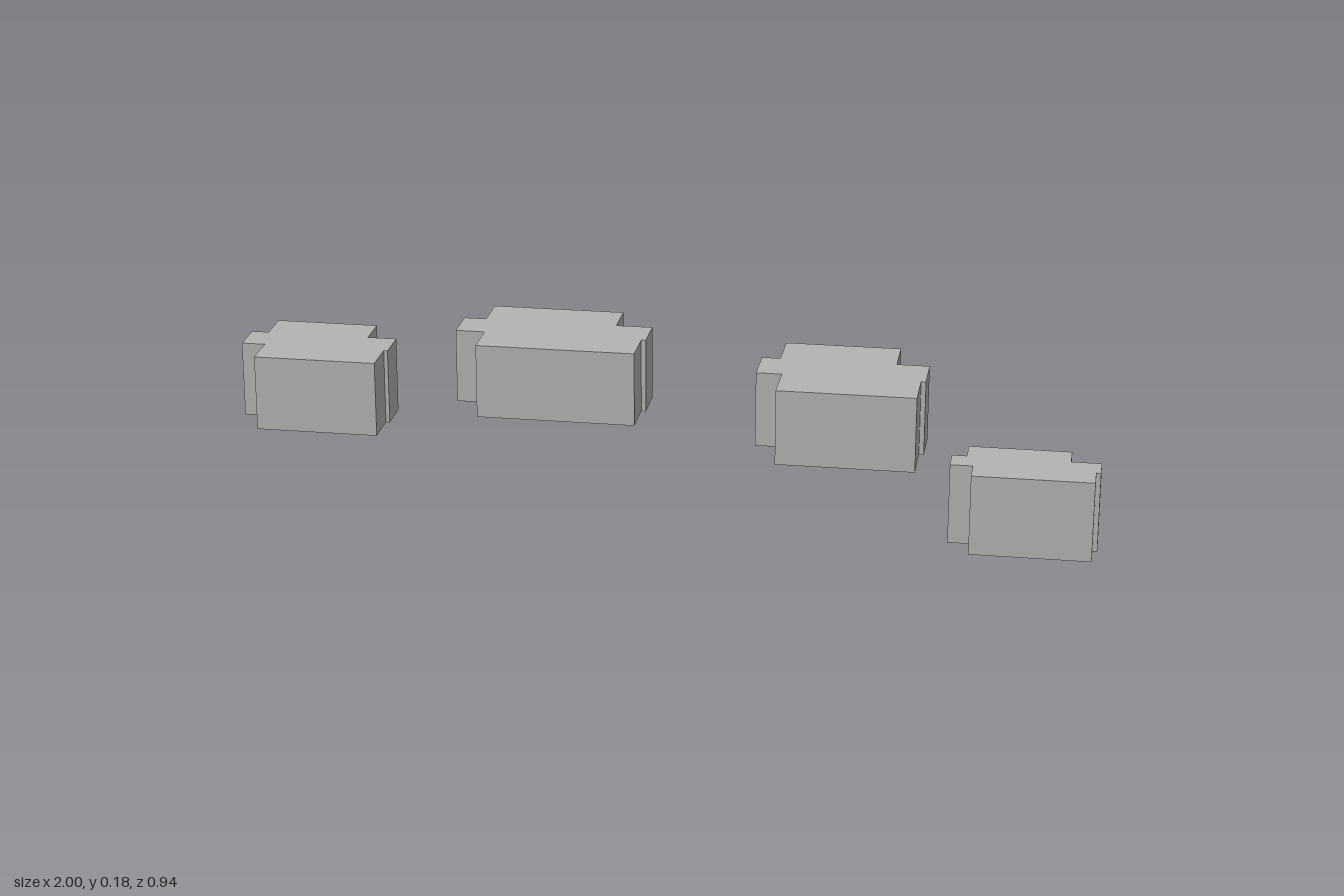
import * as THREE from 'three';

const HEIGHT = 0.177;

// Each block: four z lines from back to front, and the x span of its back, middle and front strips
const BLOCKS = [
  { name: 'farRightBlock', z: [-0.28, -0.193, -0.107, -0.017], back: [-0.96, -0.72], middle: [-1, -0.652], front: [-0.945, -0.661] },
  { name: 'centreRightBlock', z: [-0.468, -0.37, -0.275, -0.176], back: [-0.475, -0.16], middle: [-0.528, -0.074], front: [-0.459, -0.085] },
  { name: 'centreLeftBlock', z: [-0.31, -0.2, -0.093, 0.018], back: [0.252, 0.52], middle: [0.209, 0.595], front: [0.268, 0.584] },
  { name: 'farLeftBlock', z: [0.295, 0.353, 0.41, 0.468], back: [0.717, 0.936], middle: [0.685, 1], front: [0.733, 0.99] },
];

// Stepped footprint, extruded upwards into a solid block
function steppedBlock({ name, z, back, middle, front }, material) {
  const strips = [[back, z[0], z[1]], [middle, z[1], z[2]], [front, z[2], z[3]]];
  const leftSide = strips.flatMap(([x, z0, z1]) => [[x[0], z0], [x[0], z1]]);
  const rightSide = strips.flatMap(([x, z0, z1]) => [[x[1], z0], [x[1], z1]]).reverse();
  const outline = [...leftSide, ...rightSide].map(([x, zz]) => new THREE.Vector2(x, -zz));
  const geometry = new THREE.ExtrudeGeometry(new THREE.Shape(outline), { depth: HEIGHT, bevelEnabled: false });
  geometry.rotateX(-Math.PI / 2);
  const mesh = new THREE.Mesh(geometry, material);
  mesh.name = name;
  return mesh;
}

export function createModel() {
  const group = new THREE.Group();
  group.name = 'buildingBlocks';
  const grey = new THREE.MeshStandardMaterial({ color: 0xb3b3b3 });
  grey.name = 'grey';
  for (const block of BLOCKS) group.add(steppedBlock(block, grey));
  return group;
}
